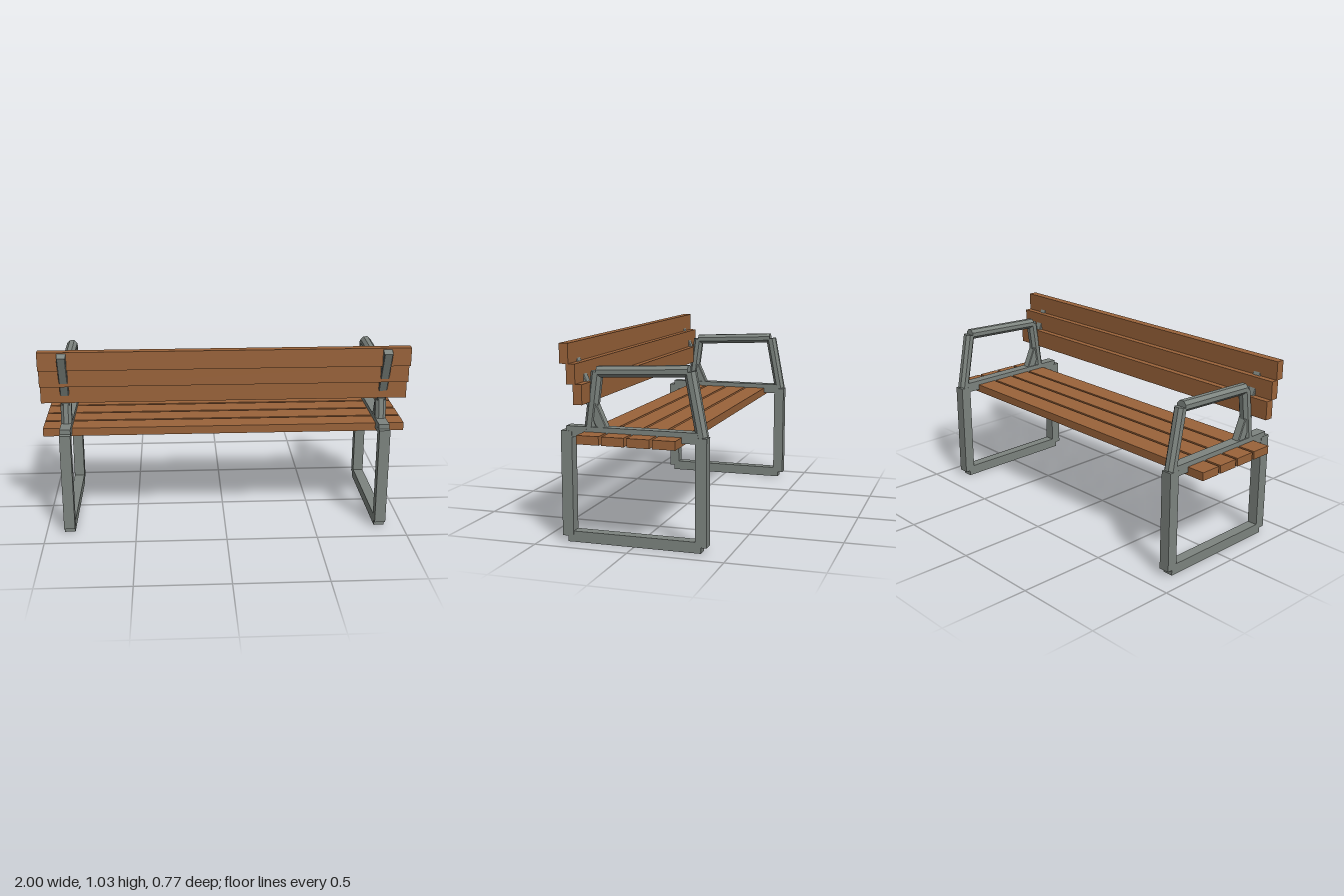
import * as THREE from 'three';

export function createModel() {
  const bench = new THREE.Group();
  bench.name = 'bench';
  const wood = new THREE.MeshStandardMaterial({ color: 0x9a633a });
  wood.name = 'wood';
  const metal = new THREE.MeshStandardMaterial({ color: 0x7d847f });
  metal.name = 'grey metal';

  function box(parent, name, material, w, y0, y1, z0, z1) {
    const mesh = new THREE.Mesh(new THREE.BoxGeometry(w, y1 - y0, z1 - z0), material);
    mesh.position.set(0, (y0 + y1) / 2, (z0 + z1) / 2);
    mesh.name = name;
    parent.add(mesh);
  }

  // Bar with chamfered edges between two [z, y] points
  function bar(parent, name, from, to, width, depth, chamfer) {
    const a = width / 2, b = depth / 2, c = chamfer;
    const shape = new THREE.Shape([
      [a, -b + c], [a, b - c], [a - c, b], [-a + c, b],
      [-a, b - c], [-a, -b + c], [-a + c, -b], [a - c, -b],
    ].map(([x, y]) => new THREE.Vector2(x, y)));
    const start = new THREE.Vector3(0, from[1], from[0]);
    const end = new THREE.Vector3(0, to[1], to[0]);
    const geometry = new THREE.ExtrudeGeometry(shape, { depth: start.distanceTo(end), bevelEnabled: false });
    const mesh = new THREE.Mesh(geometry, metal);
    mesh.position.copy(start);
    mesh.rotation.x = -Math.atan2(end.y - start.y, end.z - start.z);
    mesh.name = name;
    parent.add(mesh);
  }

  // Seat slats
  for (let i = 0; i < 4; i++) {
    const z = -0.255 + i * 0.1323;
    box(bench, 'seatSlat', wood, 2, 0.535, 0.58, z, z + 0.118);
  }

  // Stepped backrest slats
  for (let i = 0; i < 3; i++) {
    const y = 0.732 + i * 0.1005;
    const z = 0.226 + i * 0.035;
    box(bench, 'backSlat', wood, 2, y, y + 0.1015, z, z + 0.047);
  }

  // Matching end frames
  for (const side of [-1, 1]) {
    const frame = new THREE.Group();
    frame.name = side > 0 ? 'leftFrame' : 'rightFrame';
    frame.position.x = side * 0.87;
    bench.add(frame);

    box(frame, 'backLeg', metal, 0.06, 0.03, 0.58, 0.328, 0.388);
    box(frame, 'seatLeg', metal, 0.06, 0.03, 0.58, -0.383, -0.323);
    box(frame, 'footRail', metal, 0.058, 0, 0.057, -0.354, 0.358);
    box(frame, 'seatRail', metal, 0.058, 0.55, 0.606, -0.354, 0.358);

    bar(frame, 'armSupportRear', [0.236, 0.59], [0.196, 0.885], 0.059, 0.059, 0.017);
    bar(frame, 'armSupportFront', [-0.353, 0.58], [-0.291, 0.902], 0.059, 0.059, 0.017);
    bar(frame, 'armRest', [-0.285, 0.904], [0.193, 0.883], 0.059, 0.057, 0.017);
    bar(frame, 'backBracket', [0.163, 0.59], [0.356, 1.021], 0.048, 0.052, 0.004);
  }
  return bench;
}
